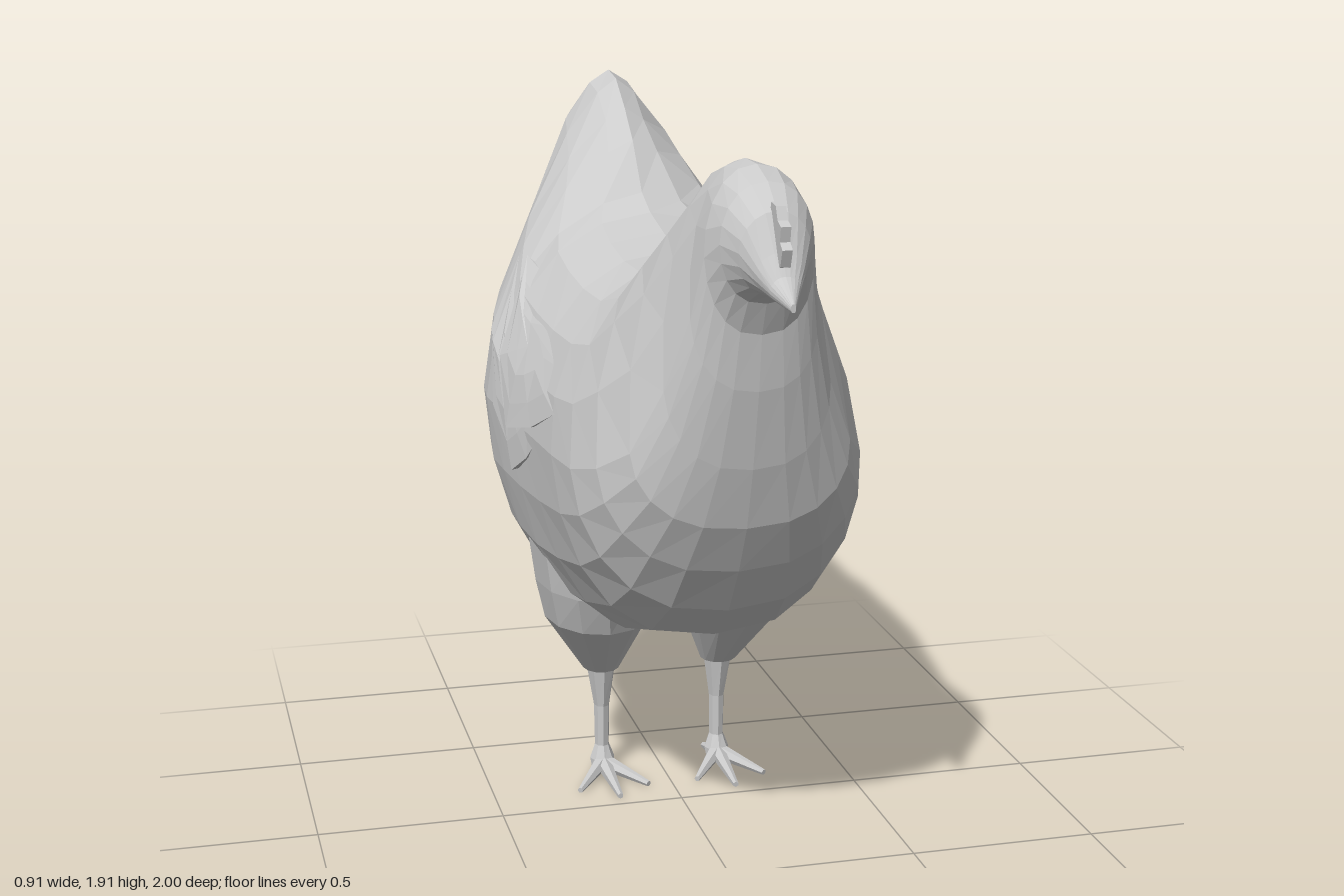
import * as THREE from 'three';

const material = new THREE.MeshStandardMaterial({ color: 0xcccccc, flatShading: true });

function addMesh(parent, name, geometry) {
  const mesh = new THREE.Mesh(geometry, material);
  mesh.name = name;
  parent.add(mesh);
  return mesh;
}

// Skin a list of equal-length rings of Vector3 and close both ends
function loft(rings) {
  const n = rings[0].length, pos = [], idx = [];
  const push = (p) => pos.push(p.x, p.y, p.z);
  rings.forEach((ring) => ring.forEach(push));
  for (let i = 0; i < rings.length - 1; i++) {
    for (let j = 0; j < n; j++) {
      const k = (j + 1) % n;
      const a = i * n + j, b = i * n + k, c = b + n, d = a + n;
      idx.push(a, b, c, a, c, d);
    }
  }
  [0, rings.length - 1].forEach((r) => {
    const centre = new THREE.Vector3();
    rings[r].forEach((p) => centre.addScaledVector(p, 1 / n));
    const c = pos.length / 3;
    push(centre);
    for (let j = 0; j < n; j++) {
      const a = r * n + j, b = r * n + (j + 1) % n;
      if (r === 0) idx.push(c, b, a); else idx.push(c, a, b);
    }
  });
  const geo = new THREE.BufferGeometry();
  geo.setAttribute('position', new THREE.Float32BufferAttribute(pos, 3));
  geo.setIndex(idx);
  geo.computeVertexNormals();
  return geo;
}

// Slanted body section: top and bottom points, half width, height of the
// widest point, and how pinched the upper and lower halves are
function bodyRing([zTop, yTop, zBot, yBot, w, yWide, pinch, lowPinch = 0.8]) {
  const ring = [], n = 20;
  for (let j = 0; j < n; j++) {
    const a = (j / n) * Math.PI * 2, c = Math.cos(a), s = Math.sin(a);
    const y = yWide + c * (c > 0 ? yTop - yWide : yWide - yBot);
    const x = Math.sign(s) * w * Math.pow(Math.abs(s), c > 0 ? pinch : lowPinch);
    const t = (yTop - y) / (yTop - yBot);
    ring.push(new THREE.Vector3(x, y, zTop + (zBot - zTop) * t));
  }
  return ring;
}

// Horizontal elliptical rings [x, y, z, rx, rz], listed downwards
function columnRing([x, y, z, rx, rz], n = 10) {
  return Array.from({ length: n }, (_, j) => {
    const a = (j / n) * Math.PI * 2;
    return new THREE.Vector3(x + Math.cos(a) * rx, y, z + Math.sin(a) * rz);
  });
}

function taperedRod(from, to, r0, r1) {
  const a = new THREE.Vector3(...from), b = new THREE.Vector3(...to);
  const dir = b.clone().sub(a);
  const geo = new THREE.CylinderGeometry(r1, r0, dir.length(), 6);
  const q = new THREE.Quaternion().setFromUnitVectors(new THREE.Vector3(0, 1, 0), dir.normalize());
  geo.applyQuaternion(q);
  const m = a.add(b).multiplyScalar(0.5);
  return geo.translate(m.x, m.y, m.z);
}

// Head and breast
const frontSections = [
  [1.0, 1.59, 1.0, 1.57, 0.006, 1.58, 1],
  [0.94, 1.64, 0.94, 1.578, 0.035, 1.61, 1],
  [0.91, 1.69, 0.89, 1.585, 0.058, 1.64, 1],
  [0.865, 1.775, 0.84, 1.58, 0.085, 1.68, 1],
  [0.79, 1.83, 0.79, 1.55, 0.112, 1.69, 0.9],
  [0.7, 1.857, 0.755, 1.47, 0.132, 1.65, 0.9],
  [0.6, 1.857, 0.735, 1.33, 0.155, 1.5, 0.95],
  [0.5, 1.835, 0.69, 1.13, 0.205, 1.32, 1.1],
  [0.4, 1.775, 0.64, 0.97, 0.275, 1.16, 1.2],
  [0.29, 1.67, 0.57, 0.84, 0.335, 1.1, 1.15],
  [0.2, 1.56, 0.48, 0.71, 0.375, 1.07, 1],
];
// Back, belly and tail
const rearSections = [
  [0.1, 1.525, 0.34, 0.6, 0.395, 1.07, 0.92, 0.75],
  [-0.05, 1.528, 0.12, 0.53, 0.41, 1.07, 0.9, 0.68],
  [-0.2, 1.55, -0.08, 0.5, 0.425, 1.07, 0.92, 0.6],
  [-0.35, 1.58, -0.27, 0.5, 0.44, 1.07, 1.0, 0.6],
  [-0.45, 1.62, -0.42, 0.495, 0.448, 1.07, 1.2, 0.7],
  [-0.56, 1.75, -0.56, 0.535, 0.435, 1.07, 1.55],
  [-0.66, 1.83, -0.66, 0.6, 0.4, 1.1, 1.7],
  [-0.77, 1.9, -0.77, 0.7, 0.33, 1.1, 1.55],
  [-0.87, 1.915, -0.85, 0.9, 0.255, 1.2, 1.3],
  [-0.93, 1.89, -0.89, 1.15, 0.19, 1.38, 1.15],
  [-0.94, 1.88, -1.0, 1.38, 0.105, 1.43, 1, 0.35],
];

// Wing layers: outline points [z, y, lift above the body]
const wingLayers = {
  wing: [
    [0.25, 1.27, -0.01], [0.2, 1.17, 0], [0.05, 1.1, 0.012], [-0.12, 1.06, 0.028],
    [-0.28, 1.22, 0.02], [-0.43, 1.41, 0.012], [-0.5, 1.45, 0], [-0.3, 1.42, -0.01], [0, 1.37, -0.01],
  ],
  flightFeathers: [
    [0.08, 1.08, -0.005], [-0.02, 1.0, 0.006], [-0.13, 0.94, 0.02], [-0.3, 1.08, 0.016],
    [-0.47, 1.26, 0.012], [-0.57, 1.45, 0], [-0.42, 1.38, -0.01], [-0.1, 1.2, -0.01],
  ],
};

function wingGeometry(outline, side, body) {
  const ray = new THREE.Raycaster();
  const dir = new THREE.Vector3(-side, 0, 0);
  const cz = outline.reduce((s, p) => s + p[0], 0) / outline.length;
  const cy = outline.reduce((s, p) => s + p[1], 0) / outline.length;
  const ring = (scale, lift) => {
    const pts = outline.map(([z, y, up]) => {
      const pz = cz + (z - cz) * scale, py = cy + (y - cy) * scale;
      ray.set(new THREE.Vector3(2 * side, py, pz), dir);
      const x = Math.abs(ray.intersectObject(body)[0].point.x);
      return new THREE.Vector3(side * (x + lift(up)), py, pz);
    });
    return side > 0 ? pts.reverse() : pts;
  };
  return loft([
    ring(0.35, (up) => 0.008 + up * 0.3),
    ring(0.7, (up) => 0.004 + up * 0.7),
    ring(1, (up) => up),
    ring(0.97, () => -0.03),
  ]);
}

export function createModel() {
  const hen = new THREE.Group();
  hen.name = 'hen';

  const body = addMesh(hen, 'body', loft([...frontSections, ...rearSections].map(bodyRing)));

  // Thin notched comb above the beak, drawn in z and y
  const combShape = new THREE.Shape([
    [0.84, 1.74], [0.9, 1.65], [0.935, 1.66], [0.95, 1.7], [0.93, 1.715],
    [0.937, 1.75], [0.91, 1.76], [0.895, 1.79], [0.86, 1.795],
  ].map(([z, y]) => new THREE.Vector2(z, y)));
  const comb = new THREE.ExtrudeGeometry(combShape, { depth: 0.024, bevelEnabled: false });
  addMesh(hen, 'comb', comb.translate(0, 0, -0.012).rotateY(-Math.PI / 2));

  [['left', 1], ['right', -1]].forEach(([label, side]) => {
    for (const [name, outline] of Object.entries(wingLayers)) {
      addMesh(hen, `${label} ${name}`, wingGeometry(outline, side, body));
    }

    const leg = new THREE.Group();
    leg.name = `${label} leg`;
    hen.add(leg);

    // Feathered thigh, merging into the flank
    addMesh(leg, 'thigh', loft([
      [0.24, 0.95, -0.2, 0.13, 0.2],
      [0.222, 0.72, -0.21, 0.155, 0.26],
      [0.208, 0.6, -0.215, 0.152, 0.245],
      [0.193, 0.49, -0.22, 0.142, 0.2],
      [0.17, 0.315, -0.257, 0.05, 0.055],
    ].map(([x, ...rest]) => columnRing([side * x, ...rest], 12))));

    // Shank
    addMesh(leg, 'shank', loft([
      [0.17, 0.33, -0.257, 0.042, 0.05],
      [0.168, 0.2, -0.262, 0.022, 0.028],
      [0.168, 0.08, -0.264, 0.02, 0.025],
      [0.168, 0.04, -0.26, 0.035, 0.038],
      [0.168, 0.005, -0.25, 0.03, 0.035],
    ].map(([x, ...rest]) => columnRing([side * x, ...rest], 8))));

    // Three front toes and one hind toe
    [[0.165, -0.035], [0.07, -0.1], [0.265, -0.1], [0.15, -0.34]].forEach(([x, z]) => {
      addMesh(leg, 'toe', taperedRod([side * 0.168, 0.028, -0.255], [side * x, 0.012, z], 0.024, 0.008));
    });
  });

  return hen;
}
